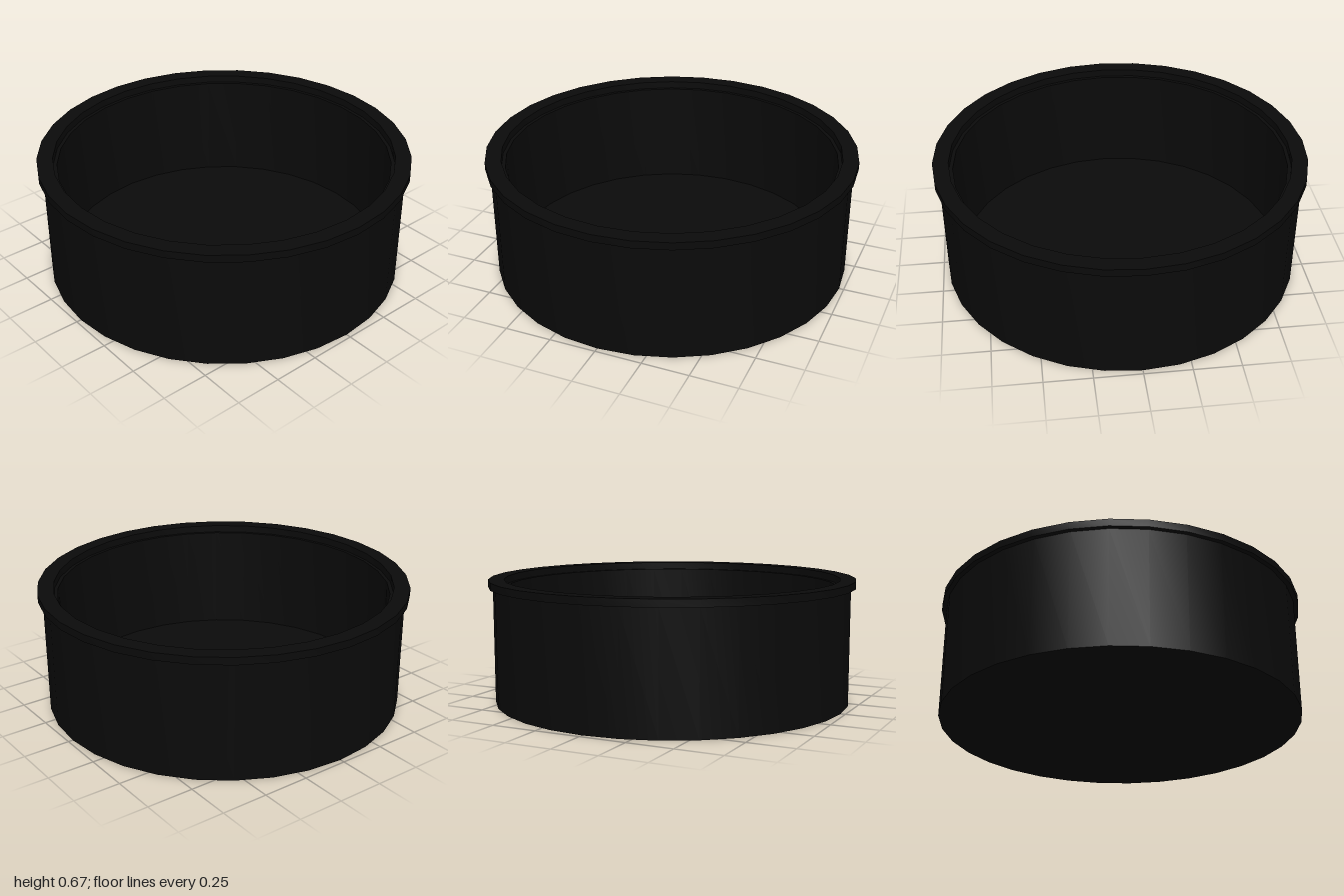
import * as THREE from 'three';
import { toCreasedNormals } from 'three/addons/utils/BufferGeometryUtils.js';

const SIDES = 32;
const HEIGHT = 0.67;
const RIM_BOTTOM = 0.63;

// Spins a [radius, height] profile round the y axis, keeping its corners sharp
function turned(name, profile, material) {
  const points = profile.map(([r, y]) => new THREE.Vector2(r, y));
  const geometry = toCreasedNormals(new THREE.LatheGeometry(points, SIDES), Math.PI / 6);
  const mesh = new THREE.Mesh(geometry, material);
  mesh.name = name;
  return mesh;
}

export function createModel() {
  const group = new THREE.Group();
  group.name = 'roundDish';
  const black = new THREE.MeshStandardMaterial({ color: 0x0a0a0a });

  // Base, outer wall, inner wall and floor
  group.add(turned('dishBody', [
    [0, 0], [0.975, 0], [0.975, RIM_BOTTOM],
    [0.895, RIM_BOTTOM], [0.895, 0.04], [0, 0.04],
  ], black));

  // Flat rim that overhangs the outer wall and leaves a small ledge inside
  group.add(turned('rim', [
    [0.915, RIM_BOTTOM], [1, RIM_BOTTOM], [1, HEIGHT],
    [0.915, HEIGHT], [0.915, RIM_BOTTOM],
  ], black));

  return group;
}
